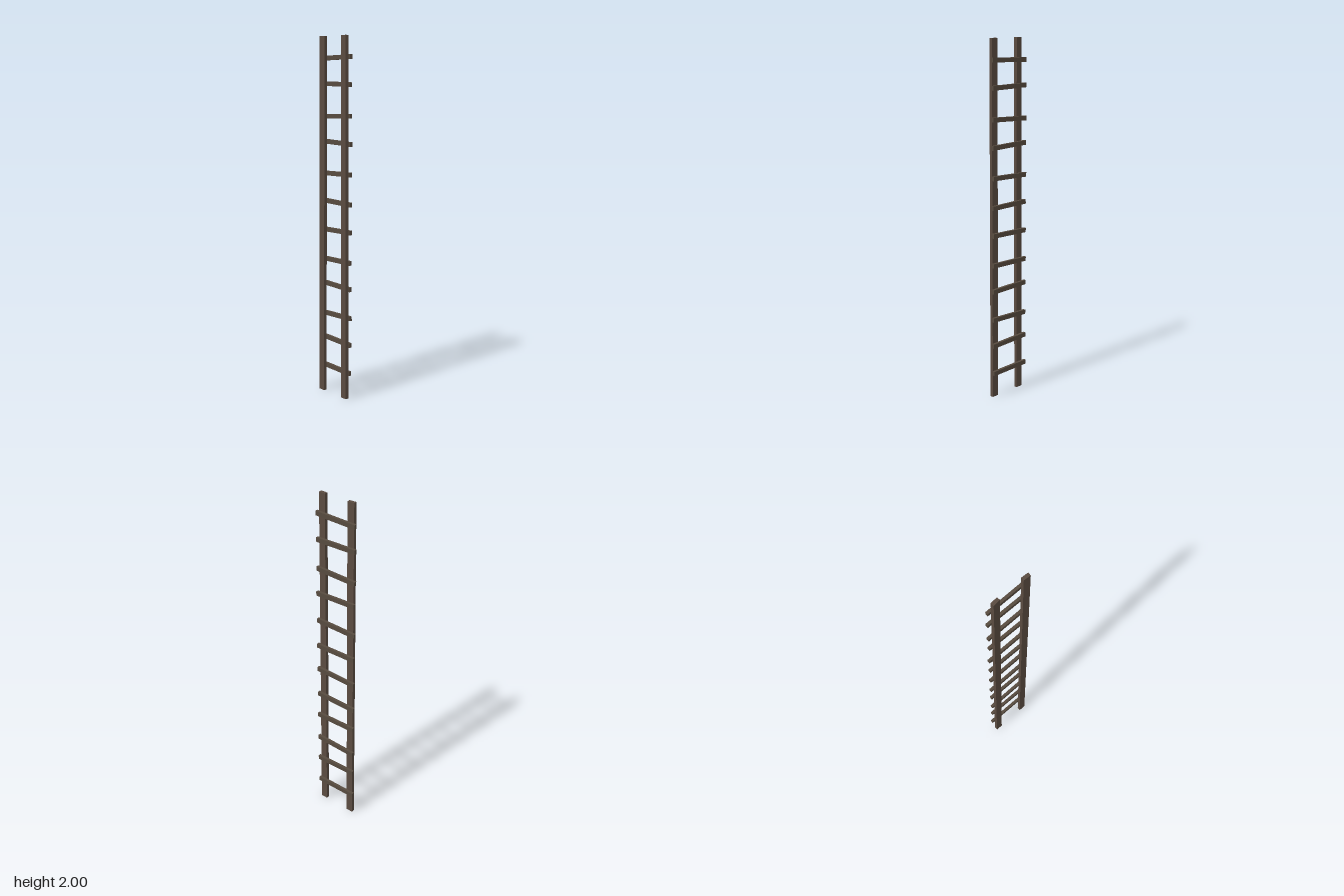
import * as THREE from 'three';

export function createModel() {
  const ladder = new THREE.Group();
  ladder.name = 'ladder';
  const railWood = new THREE.MeshStandardMaterial({ color: 0x5a4b40 });
  railWood.name = 'rail wood';
  const rungWood = new THREE.MeshStandardMaterial({ color: 0x574b3f });
  rungWood.name = 'rung wood';

  // Hand-cut upright: a plank that leans and twists slightly along its height
  function addRail(name, xBottom, xTop, twist) {
    const geo = new THREE.BoxGeometry(0.041, 2, 0.019, 1, 4, 1);
    const p = geo.attributes.position;
    for (let i = 0; i < p.count; i++) {
      const t = p.getY(i) / 2 + 0.5;
      const a = twist * t;
      const x = p.getX(i), z = p.getZ(i);
      p.setXYZ(i,
        xBottom + (xTop - xBottom) * t + x * Math.cos(a) + z * Math.sin(a),
        p.getY(i) + 1,
        0.006 - x * Math.sin(a) + z * Math.cos(a));
    }
    geo.computeVertexNormals();
    const rail = new THREE.Mesh(geo, railWood);
    rail.name = name;
    ladder.add(rail);
  }
  addRail('rightRail', -0.097, -0.089, 0.08);
  addRail('leftRail', 0.101, 0.098, -0.06);

  // Rungs nailed across the back: height, tilt (rise over the width), sideways shift
  const rungs = [
    [0.145, -0.004, -0.003], [0.31, -0.008, 0], [0.455, 0.008, 0.001],
    [0.625, -0.006, 0], [0.768, 0.004, -0.001], [0.936, 0.006, 0],
    [1.095, -0.005, 0.001], [1.253, 0.006, -0.002], [1.425, -0.008, 0.002],
    [1.568, 0.008, -0.001], [1.742, -0.005, -0.002], [1.884, 0.006, 0.001],
  ];
  const rungGeo = new THREE.BoxGeometry(0.258, 0.025, 0.016);
  rungs.forEach(([y, rise, shift], i) => {
    const rung = new THREE.Mesh(rungGeo, rungWood);
    rung.name = `rung${i + 1}`;
    rung.position.set(shift - 0.001, y, -0.013);
    rung.rotation.z = Math.atan2(rise, 0.258);
    ladder.add(rung);
  });

  return ladder;
}
